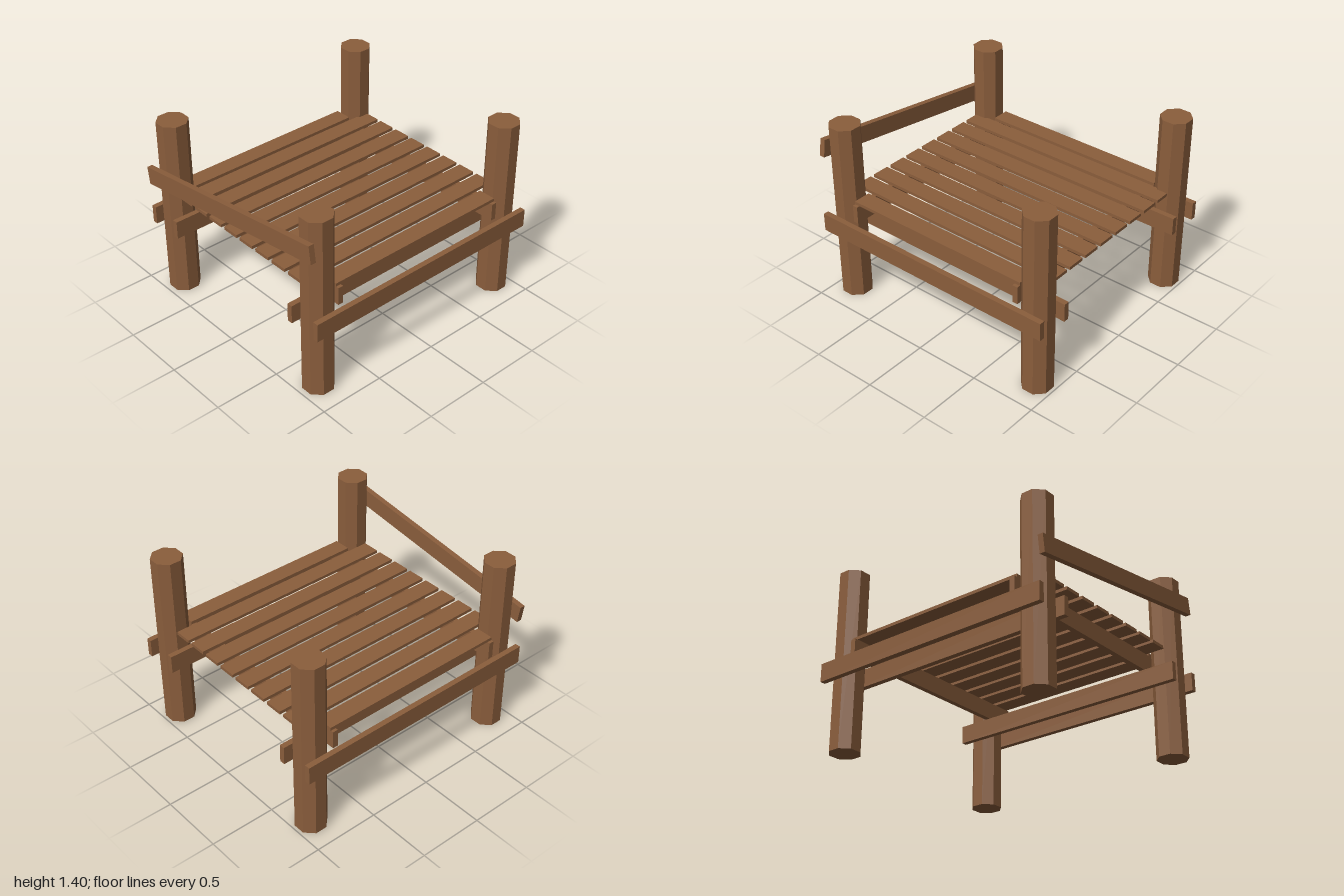
import * as THREE from 'three';

export function createModel() {
  const model = new THREE.Group();
  model.name = 'woodenPlatform';
  const wood = new THREE.MeshStandardMaterial({ color: 0x8b5e3c, flatShading: true });

  function add(name, geometry, x, y, z) {
    const mesh = new THREE.Mesh(geometry, wood);
    mesh.name = name;
    mesh.position.set(x, y, z);
    model.add(mesh);
    return mesh;
  }

  // Box given by its extents on each axis
  function board(name, [x0, x1], [y0, y1], [z0, z1]) {
    return add(name, new THREE.BoxGeometry(x1 - x0, y1 - y0, z1 - z0),
      (x0 + x1) / 2, (y0 + y1) / 2, (z0 + z1) / 2);
  }

  // Octagonal corner posts, flats facing the axes
  const apothem = 0.108, postHeight = 1.405;
  const radius = apothem / Math.cos(Math.PI / 8);
  const postGeometry = new THREE.CylinderGeometry(radius, radius, postHeight, 8);
  postGeometry.rotateY(Math.PI / 8);
  for (const x of [-0.849, 0.867]) {
    for (const z of [-0.767, 0.767]) add('post', postGeometry, x, postHeight / 2, z);
  }

  // Pairs of cross beams clamping the posts, front and back
  for (const side of [-1, 1]) {
    for (const [name, z] of [['outerBeam', 0.897], ['innerBeam', 0.639]]) {
      board(name, [-0.98, 1], [0.535, 0.675], [side * z - 0.021, side * z + 0.021]);
    }
  }

  // Joists running front to back on the beams
  for (const x of [-0.741, 0.716]) board('joist', [x, x + 0.041], [0.675, 0.811], [-0.87, 0.85]);

  // Deck planks; the first and last fit between the posts
  const count = 10;
  for (let i = 0; i < count; i++) {
    const z = -0.78 + i * 0.1709;
    const isEnd = i === 0 || i === count - 1;
    board('deckPlank', isEnd ? [-0.741, 0.758] : [-0.89, 0.905],
      [0.811, 0.835], [z - 0.068, z + 0.068]);
  }

  // Slanting side rail, higher at the front
  const rail = add('slantedRail', new THREE.BoxGeometry(0.042, 0.134, 1.788), -0.979, 1.08, -0.01);
  rail.rotation.x = -0.144;

  return model;
}
